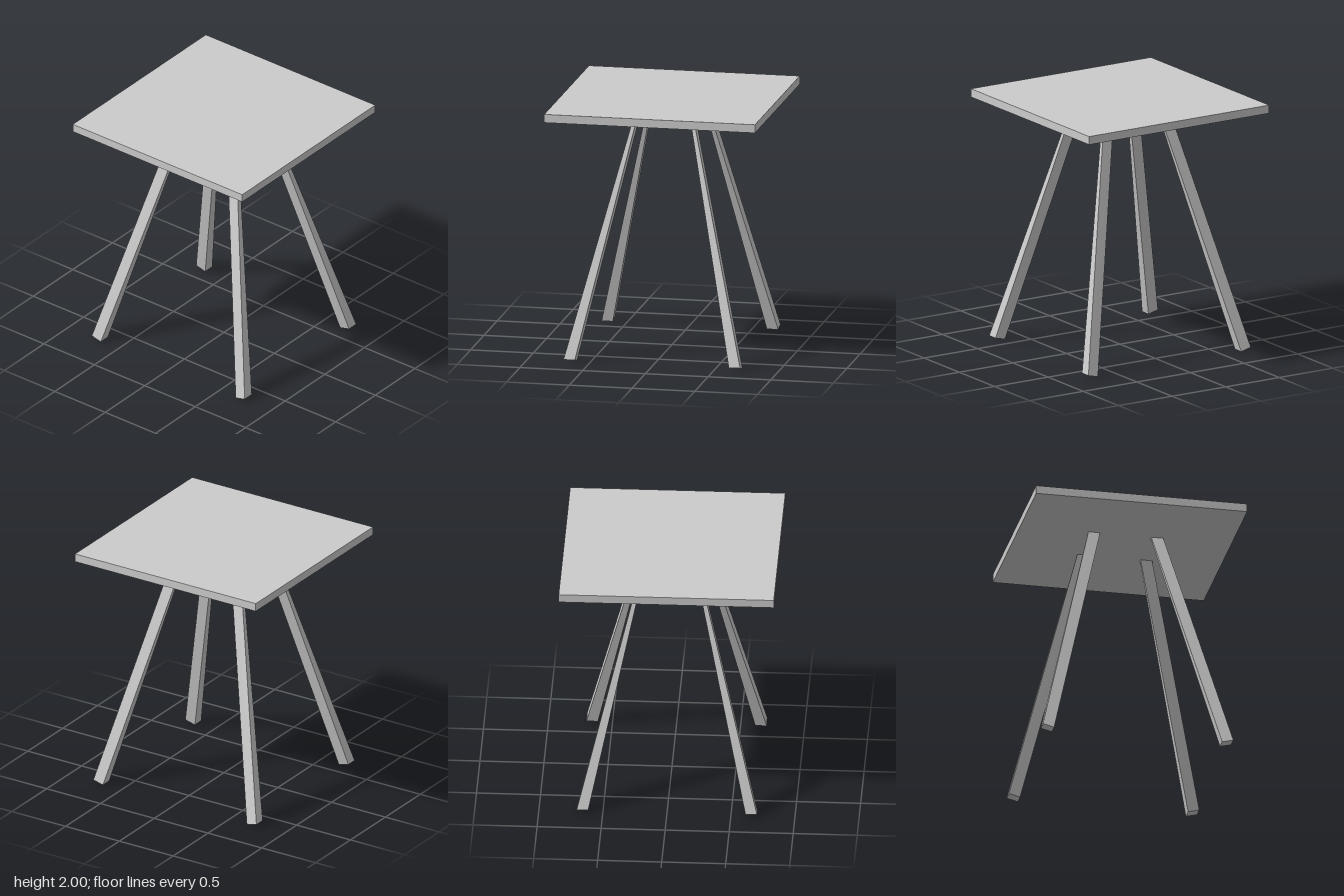
import * as THREE from 'three';

const TOP_HALF = 0.84;
const TOP_UNDERSIDE = 1.934;

// One splayed leg: square at the foot, narrowing across x towards the tabletop.
// sx and sz are the signs of the quadrant the leg stands in.
function legGeometry(sx, sz) {
  const geometry = new THREE.BoxGeometry(1, 1, 1);
  const p = geometry.attributes.position;
  for (let i = 0; i < p.count; i++) {
    const outerX = p.getX(i) * sx > 0;
    const outerZ = p.getZ(i) * sz > 0;
    if (p.getY(i) > 0) {
      // Upper end, cut level against the tabletop
      const x = (outerX ? 0.223 : 0.196) + (outerZ ? 0.005 : 0);
      p.setXYZ(i, sx * x, TOP_UNDERSIDE, sz * (outerZ ? 0.298 : 0.204));
    } else {
      // Foot, cut square to the leg so its outer edge lifts
      p.setXYZ(i, sx * (outerX ? 0.704 : 0.614), outerZ ? 0.022 : 0, sz * (outerZ ? 0.758 : 0.669));
    }
  }
  geometry.computeVertexNormals();
  return geometry;
}

export function createModel() {
  const group = new THREE.Group();
  group.name = 'table';
  const material = new THREE.MeshStandardMaterial({ color: 0xcccccc, flatShading: true });

  // Square tabletop
  const thickness = 2 - TOP_UNDERSIDE;
  const tabletop = new THREE.Mesh(new THREE.BoxGeometry(TOP_HALF * 2, thickness, TOP_HALF * 2), material);
  tabletop.position.y = 2 - thickness / 2;
  tabletop.name = 'tabletop';
  group.add(tabletop);

  // Four mirrored legs
  for (const sx of [1, -1]) {
    for (const sz of [1, -1]) {
      const leg = new THREE.Mesh(legGeometry(sx, sz), material);
      leg.name = (sz > 0 ? 'front' : 'back') + (sx > 0 ? 'Left' : 'Right') + 'Leg';
      group.add(leg);
    }
  }
  return group;
}
